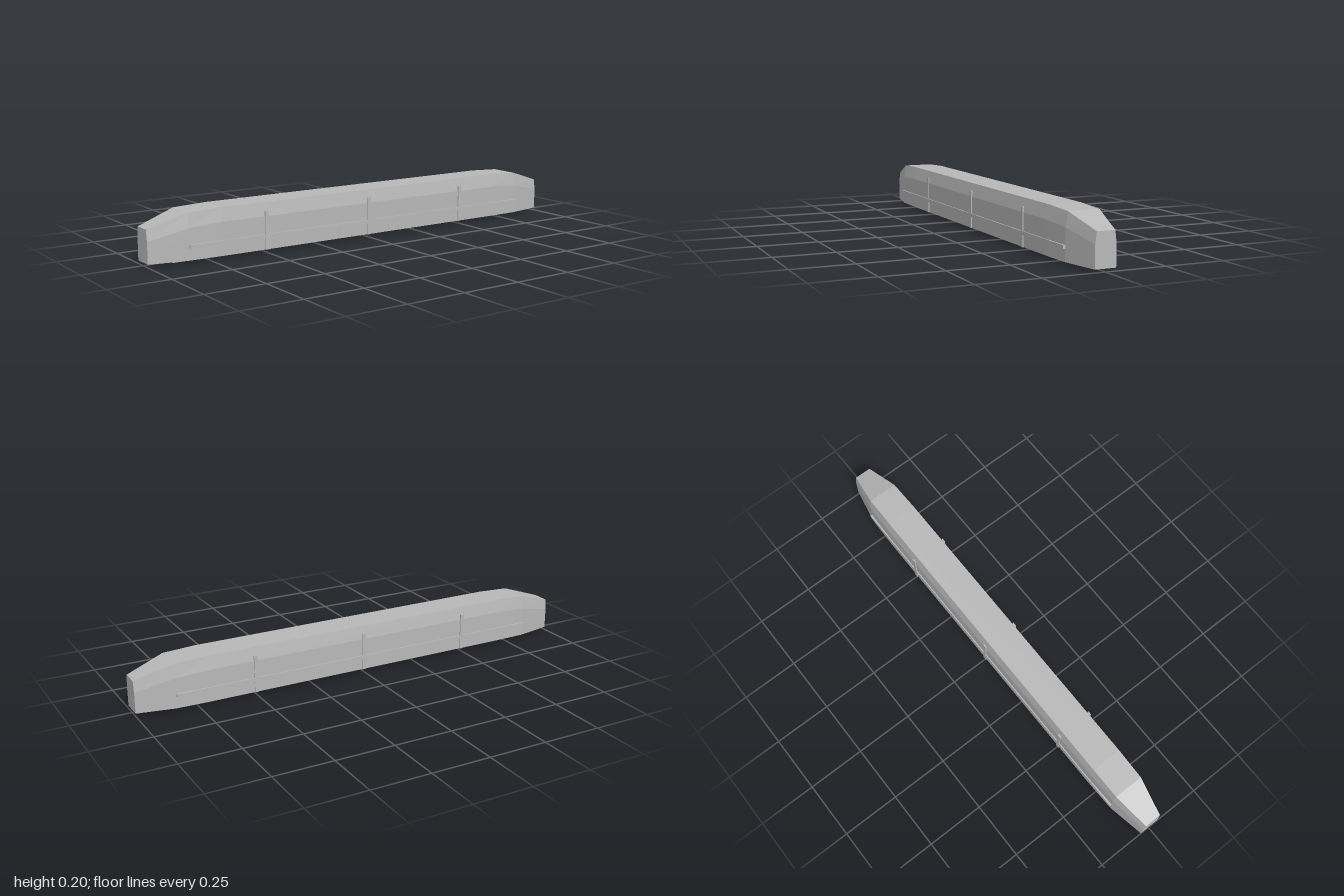
import * as THREE from 'three';

const grey = new THREE.MeshStandardMaterial({ color: 0xb8b8b8, side: THREE.DoubleSide });
grey.name = 'hull grey';
grey.flatShading = true;

// Long shell with an open underside, lofted through six-point cross-sections
function hullGeometry() {
  // z, bottom half-width, shoulder half-width, shoulder y, top half-width, top y
  const half = [
    [1, 0.043, 0.043, 0.1, 0.037, 0.147],
    [0.84, 0.074, 0.074, 0.14, 0.065, 0.198],
    [0.7, 0.078, 0.078, 0.148, 0.067, 0.204],
  ];
  const sections = [...half, ...half.slice().reverse().map(([z, ...rest]) => [-z, ...rest])];
  const positions = [];
  const index = [];
  for (const [z, bottomX, shoulderX, shoulderY, topX, topY] of sections) {
    positions.push(bottomX, 0.012, z, shoulderX, shoulderY, z, topX, topY, z);
    positions.push(-topX, topY, z, -shoulderX, shoulderY, z, -bottomX, 0.012, z);
  }
  for (let i = 0; i < sections.length - 1; i++) {
    for (let j = 0; j < 5; j++) {
      const a = i * 6 + j;
      const b = a + 6;
      index.push(a, b, b + 1, a, b + 1, a + 1);
    }
  }
  // Flat nose and tail
  const last = (sections.length - 1) * 6;
  for (let j = 1; j < 5; j++) {
    index.push(0, j, j + 1, last, last + j + 1, last + j);
  }
  const geometry = new THREE.BufferGeometry();
  geometry.setAttribute('position', new THREE.Float32BufferAttribute(positions, 3));
  geometry.setIndex(index);
  const flat = geometry.toNonIndexed();
  flat.computeVertexNormals();
  return flat;
}

// Box with its downward face left out
function openBottomBox(width, height, depth) {
  const geometry = new THREE.BoxGeometry(width, height, depth);
  const kept = Array.from(geometry.index.array).filter((_, i) => i < 18 || i >= 24);
  geometry.setIndex(kept);
  geometry.clearGroups();
  return geometry;
}

export function createModel() {
  const model = new THREE.Group();
  model.name = 'train car';
  const add = (name, geometry, x, y, z) => {
    const mesh = new THREE.Mesh(geometry, grey);
    mesh.name = name;
    mesh.position.set(x, y, z);
    model.add(mesh);
  };

  add('hull', hullGeometry(), 0, 0, 0);
  add('guideRail', openBottomBox(0.052, 0.012, 1.78), 0, 0.006, 0);

  // Side trim: one long strip and three upright ribs on each side
  for (const side of [1, -1]) {
    const label = side > 0 ? 'left' : 'right';
    add(label + 'SideStrip', new THREE.BoxGeometry(0.0095, 0.014, 1.68), side * 0.0778, 0.068, 0);
    for (const z of [-0.5, 0, 0.5]) {
      add(label + 'Rib', new THREE.BoxGeometry(0.006, 0.16, 0.016), side * 0.079, 0.092, z);
    }
  }
  return model;
}
